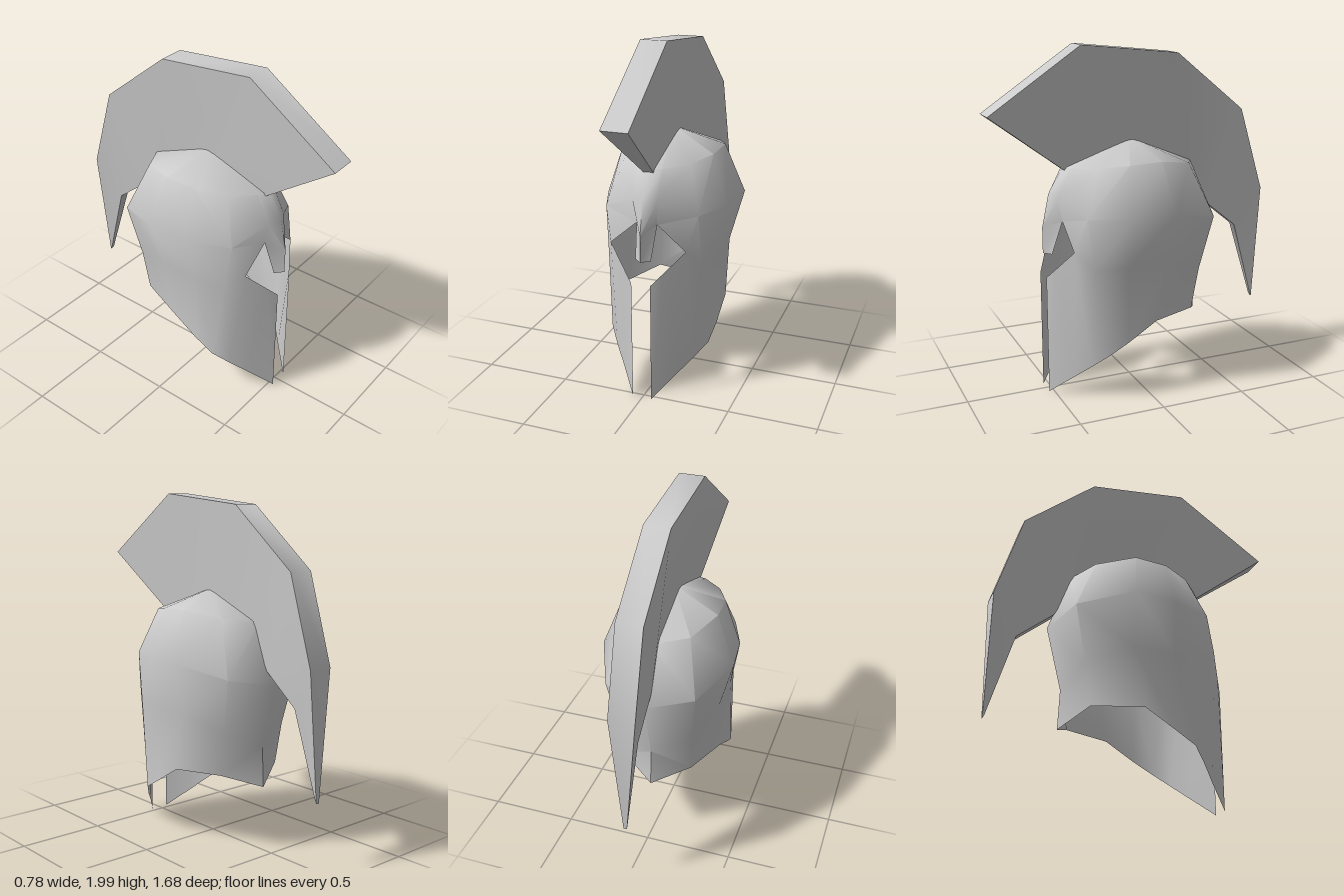
import * as THREE from 'three';
import { toCreasedNormals } from 'three/addons/utils/BufferGeometryUtils.js';

const material = new THREE.MeshStandardMaterial({ color: 0xcccccc, side: THREE.DoubleSide });

// Mesh from a list of triangles (three corner points each), smooth except at sharp edges
function meshFrom(name, triangles, crease) {
  const geometry = new THREE.BufferGeometry();
  geometry.setAttribute('position', new THREE.Float32BufferAttribute(triangles.flat(2), 3));
  const mesh = new THREE.Mesh(toCreasedNormals(geometry, crease), material);
  mesh.name = name;
  return mesh;
}

const quad = (a, b, c, d) => [[a, b, c], [a, c, d]];

// Strip between two rows of points, upper row first, running from back to front
function strip(upper, lower) {
  const triangles = [];
  for (let i = 0; i < upper.length - 1; i++) {
    triangles.push(...quad(upper[i], upper[i + 1], lower[i + 1], lower[i]));
  }
  return triangles;
}

// Adds the mirrored half, with the corner order reversed
function mirrored(triangles) {
  const flip = ([x, y, z]) => [-x, y, z];
  return [...triangles, ...triangles.map(([a, b, c]) => [flip(a), flip(c), flip(b)])];
}

function createShell() {
  // Cross-sections of the left half, from the centre of the back to the front
  const apex = [0, 1.47, 0];
  const crown = [
    [0, 1.31, -0.39], [0.19, 1.33, -0.29], [0.28, 1.37, -0.08], [0.27, 1.36, 0.11],
    [0.19, 1.34, 0.27], [0.07, 1.33, 0.38], [0, 1.33, 0.4],
  ];
  const temple = [
    [0, 0.97, -0.51], [0.26, 1.02, -0.42], [0.39, 1.09, -0.12], [0.36, 1.08, 0.13],
    [0.27, 1.08, 0.36], [0.07, 1.17, 0.46], [0, 1.18, 0.49],
  ];
  const eyeCorner = [0.22, 0.89, 0.42];
  const jaw = [
    [0, 0.61, -0.42], [0.22, 0.7, -0.35], [0.31, 0.79, -0.1], [0.31, 0.79, 0.14],
    [0.28, 0.79, 0.32], eyeCorner, [0.115, 0.775, 0.49], [0.055, 0.71, 0.53],
  ];
  const rim = [
    [0, 0.38, -0.43], [0.21, 0.46, -0.31], [0.31, 0.455, -0.04], [0.31, 0.35, 0.13],
    [0.3, 0.28, 0.25], [0.235, 0.205, 0.33], [0.16, 0.125, 0.41], [0.055, 0.01, 0.53],
  ];
  const browInner = [0.06, 1.03, 0.43];

  // Dome, sides and the flared cheek guards
  const half = [
    ...crown.slice(1).map((p, i) => [apex, p, crown[i]]).map(([a, b, c]) => [a, b, c]),
    ...strip(crown, temple),
    ...strip(temple.slice(0, 5), jaw.slice(0, 5)),
    [temple[4], eyeCorner, jaw[4]],
    ...strip(jaw, rim),
    // Brow above the eye opening
    ...quad(temple[4], temple[5], browInner, eyeCorner),
  ];

  // Ridged nose guard
  const noseMiddle = [browInner, [0, 0.99, 0.53]];
  const noseTip = [[0.045, 0.84, 0.49], [0, 0.84, 0.53]];
  const nose = [...strip(temple.slice(5), noseMiddle), ...strip(noseMiddle, noseTip)];

  return meshFrom('helmetShell', mirrored([...half, ...nose]), 0.9);
}

function createCrest() {
  // Per section, front to back: outer [z, y, half width], inner [z, y, half width]
  const sections = [
    [[0.84, 1.64, 0.075], [0.4, 1.31, 0.03]],
    [[0.31, 2, 0.075], [0.05, 1.43, 0.03]],
    [[-0.27, 1.94, 0.075], [-0.34, 1.3, 0.03]],
    [[-0.69, 1.6, 0.075], [-0.48, 1.05, 0.03]],
    [[-0.84, 1.11, 0.075], [-0.69, 0.88, 0.03]],
    [[-0.84, 0.39, 0.01], [-0.83, 0.41, 0.01]],
  ];
  const rings = sections.map(([[zo, yo, wo], [zi, yi, wi]]) => [
    [wo, yo, zo], [-wo, yo, zo], [-wi, yi, zi], [wi, yi, zi],
  ]);
  const triangles = [];
  for (let i = 0; i < rings.length - 1; i++) {
    for (let k = 0; k < 4; k++) {
      const n = (k + 1) % 4;
      triangles.push(...quad(rings[i][k], rings[i + 1][k], rings[i + 1][n], rings[i][n]));
    }
  }
  // End caps
  triangles.push(...quad(...rings[0]), ...quad(...[...rings[rings.length - 1]].reverse()));
  return meshFrom('crest', triangles, 0.9);
}

export function createModel() {
  const group = new THREE.Group();
  group.name = 'crestedHelmet';
  group.add(createShell(), createCrest());
  return group;
}
